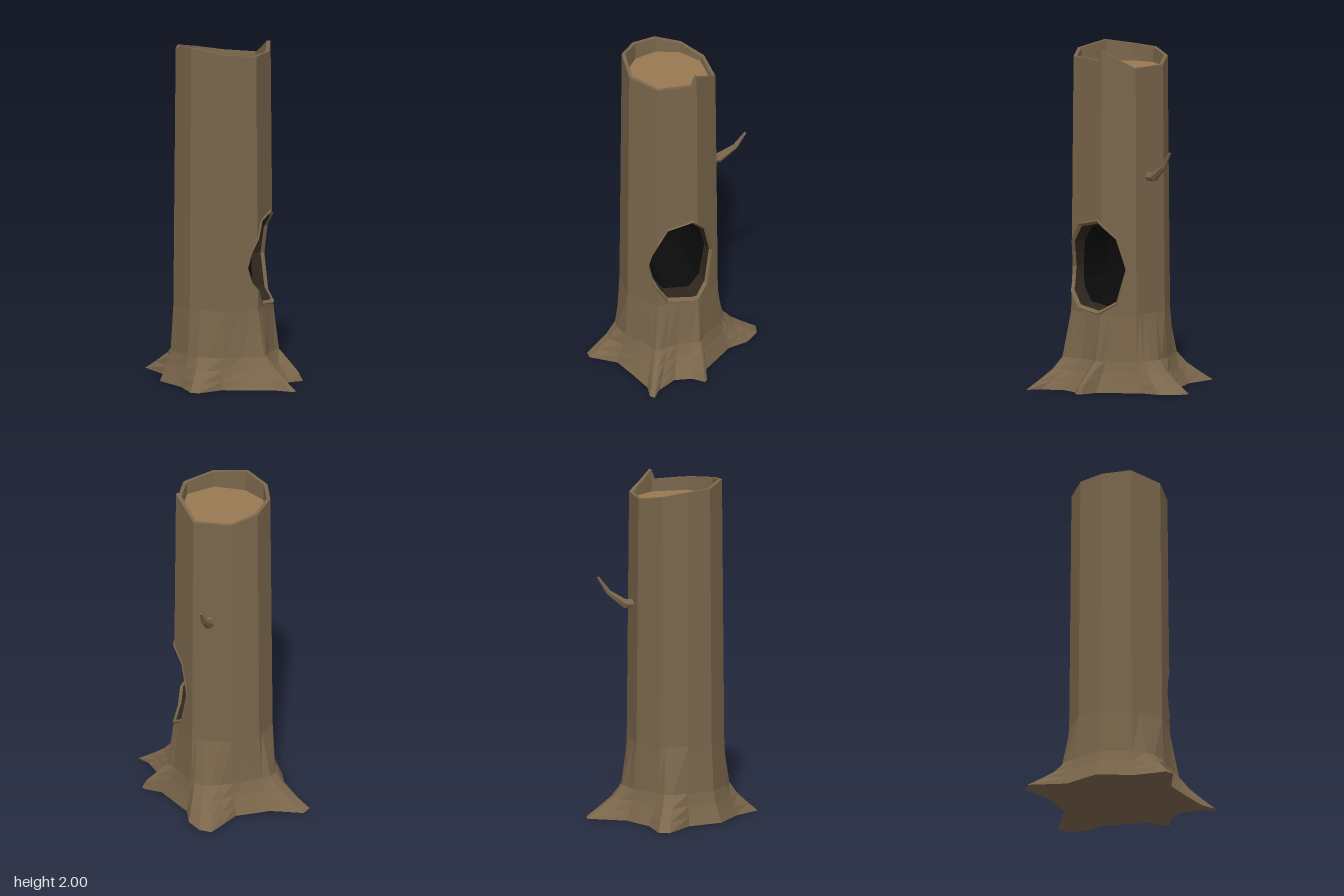
import * as THREE from 'three';

const mat = (color, side = THREE.FrontSide) =>
  new THREE.MeshStandardMaterial({ color, flatShading: true, roughness: 1, side });
const bark = mat(0x7a664b, THREE.DoubleSide);
const cutWood = mat(0x997a52);
const darkWood = mat(0x2e261d, THREE.DoubleSide);
const black = mat(0x0b0b0b, THREE.DoubleSide);

// Nine corners of the trunk seen from above [x, z], from the back towards +x
const corners = [[-0.066, -0.227], [0.155, -0.208], [0.27, -0.045], [0.244, 0.19], [0.078, 0.3],
  [-0.127, 0.266], [-0.25, 0.15], [-0.277, 0], [-0.213, -0.14]];

// Ground outline with roots: [x, z, position along the trunk corners]
const ground = [[-0.10, -0.31, 0], [-0.03, -0.42, 0.3], [0.03, -0.51, 0.5], [0.10, -0.49, 0.7],
  [0.17, -0.40, 0.9], [0.19, -0.28, 1], [0.27, -0.175, 1.5], [0.35, -0.07, 1.8], [0.45, -0.04, 1.9],
  [0.47, -0.02, 2], [0.41, 0.04, 2.2], [0.385, 0.14, 2.5], [0.45, 0.26, 2.7], [0.515, 0.315, 2.9],
  [0.49, 0.335, 3], [0.40, 0.315, 3.2], [0.24, 0.345, 3.5], [0.09, 0.38, 4], [-0.02, 0.51, 4.4],
  [-0.07, 0.505, 4.7], [-0.17, 0.34, 5], [-0.335, 0.19, 6], [-0.37, -0.02, 7], [-0.52, -0.19, 7.5],
  [-0.49, -0.25, 7.8], [-0.29, -0.24, 8], [-0.20, -0.275, 8.5]];

// Trunk wall columns: [position, rim height, hollow top, hollow bottom]
const columns = [[0, 1.9], [1, 1.9], [1.26, 1.925, 0.72, 0.72], [1.54, 1.95, 0.9, 0.51],
  [2, 2.0, 0.985, 0.455], [2.1, 1.94, 1.005, 0.45], [2.75, 1.945, 0.97, 0.47], [3, 1.945, 0.87, 0.56],
  [3.2, 1.95, 0.79, 0.61], [3.33, 1.952, 0.7, 0.7], [4, 1.965], [5, 1.995], [6, 1.97], [7, 1.96],
  [8, 1.93], [9, 1.9]];

const FLARE = 0.45, DISC = 1.87;

// Point on the trunk surface at corner position s and height y, optionally inset
function trunkPoint(s, y, inset = 1) {
  const i = Math.floor(s), f = s - i;
  const a = corners[i % 9], b = corners[(i + 1) % 9];
  const k = inset * (1 + 0.05 * Math.max(0, (1.95 - y) / 1.5));
  const x = a[0] + (b[0] - a[0]) * f, z = a[1] + (b[1] - a[1]) * f;
  return new THREE.Vector3(x * k, y, 0.035 + (z - 0.035) * k);
}

// Surface through rows of points
function skin(...rows) {
  const pts = [];
  const tri = (p, q, r) => {
    if (p.distanceTo(q) > 1e-5 && q.distanceTo(r) > 1e-5 && r.distanceTo(p) > 1e-5) pts.push(p, q, r);
  };
  for (let j = 0; j < rows.length - 1; j++) {
    for (let i = 0; i < rows[j].length - 1; i++) {
      const a = rows[j][i], b = rows[j][i + 1], d = rows[j + 1][i], c = rows[j + 1][i + 1];
      tri(b, a, d);
      tri(b, d, c);
    }
  }
  const g = new THREE.BufferGeometry().setFromPoints(pts);
  g.computeVertexNormals();
  return g;
}

export function createModel() {
  const group = new THREE.Group();
  const add = (name, geometry, material) => {
    const m = new THREE.Mesh(geometry, material);
    m.name = name;
    group.add(m);
  };

  // Flared roots, blending from the ground outline into the trunk
  const closedGround = [...ground, [ground[0][0], ground[0][1], 9]];
  const flare = [[0, 1], [0.05, 0.73], [0.11, 0.43], [0.18, 0.2], [FLARE, 0]].map(([y, w]) =>
    closedGround.map(([x, z, s]) => {
      const p = trunkPoint(s, FLARE);
      const knob = s >= 1.9 && s <= 2 && y > 0 && y < 0.15 ? 0.13 : 0;
      p.lerp(new THREE.Vector3(x, 0, z), w + knob);
      p.y = y;
      return p;
    }));
  add('roots', skin(...flare), bark);

  // Underside
  const sole = new THREE.ShapeGeometry(new THREE.Shape(ground.map(([x, z]) => new THREE.Vector2(x, z))));
  add('underside', sole.rotateX(Math.PI / 2), bark);

  // Trunk wall below and above the hollow
  const ring = (pick) => columns.map((c) => trunkPoint(c[0], pick(c)));
  add('lowerTrunk', skin(ring(() => FLARE), ring((c) => c[3] ?? 0.7)), bark);
  add('upperTrunk', skin(ring((c) => c[2] ?? 0.7), ring((c) => c[1])), bark);

  // Broken rim and its inner wall
  add('rim', skin(ring((c) => c[1]), columns.map((c) => trunkPoint(c[0], c[1], 0.92)),
    columns.map((c) => trunkPoint(c[0], DISC, 0.9))), bark);

  // Cut wood disc
  const disc = corners.map((_, i) => trunkPoint(i, DISC, 0.9)).map((p) => new THREE.Vector2(p.x, -p.z));
  add('cutTop', new THREE.ShapeGeometry(new THREE.Shape(disc)).rotateX(-Math.PI / 2).translate(0, DISC, 0), cutWood);

  // Hollow: lip, dark wall and black depth, shrinking inward from the opening
  const holed = columns.filter((c) => c.length > 2);
  const opening = [...holed.map((c) => trunkPoint(c[0], c[2])),
    ...holed.slice(1, -1).reverse().map((c) => trunkPoint(c[0], c[3]))];
  opening.push(opening[0].clone());
  const inward = (scale, place) => opening.map((p) =>
    new THREE.Vector3(place(p.x), 0.72 + (p.y - 0.72) * scale, 0.03 + (p.z - 0.03) * scale));
  const lip = inward(0.98, (x) => x + 0.008), edge = inward(0.92, (x) => x - 0.012);
  const throat = inward(0.88, (x) => x * 0.5 + 0.03), deep = inward(0.75, () => -0.05);
  const back = inward(0.35, () => -0.12), end = inward(0, () => -0.13);
  add('hollowLip', skin(edge, lip, opening), bark);
  add('hollowWall', skin(throat, edge), darkWood);
  add('hollowDepth', skin(end, back, deep, throat), black);

  // Bent twig on the back: [x, y, z, radius, tilt of the section]
  const twig = [[0.05, 1.255, -0.19, 0.03, 0], [0.062, 1.255, -0.265, 0.028, 0.4],
    [0.085, 1.325, -0.36, 0.016, 0.75], [0.097, 1.415, -0.42, 0.007, 0.9], [0.097, 1.416, -0.421, 0, 0.9]];
  const twigRows = twig.map(([x, y, z, r, tilt]) => Array.from({ length: 7 }, (_, i) => {
    const a = (i % 6) / 6 * Math.PI * 2;
    const v = Math.sin(a) * r;
    return new THREE.Vector3(x + Math.cos(a) * r, y + v * Math.cos(tilt), z + v * Math.sin(tilt));
  }));
  add('twig', skin(...twigRows), bark);

  return group;
}
